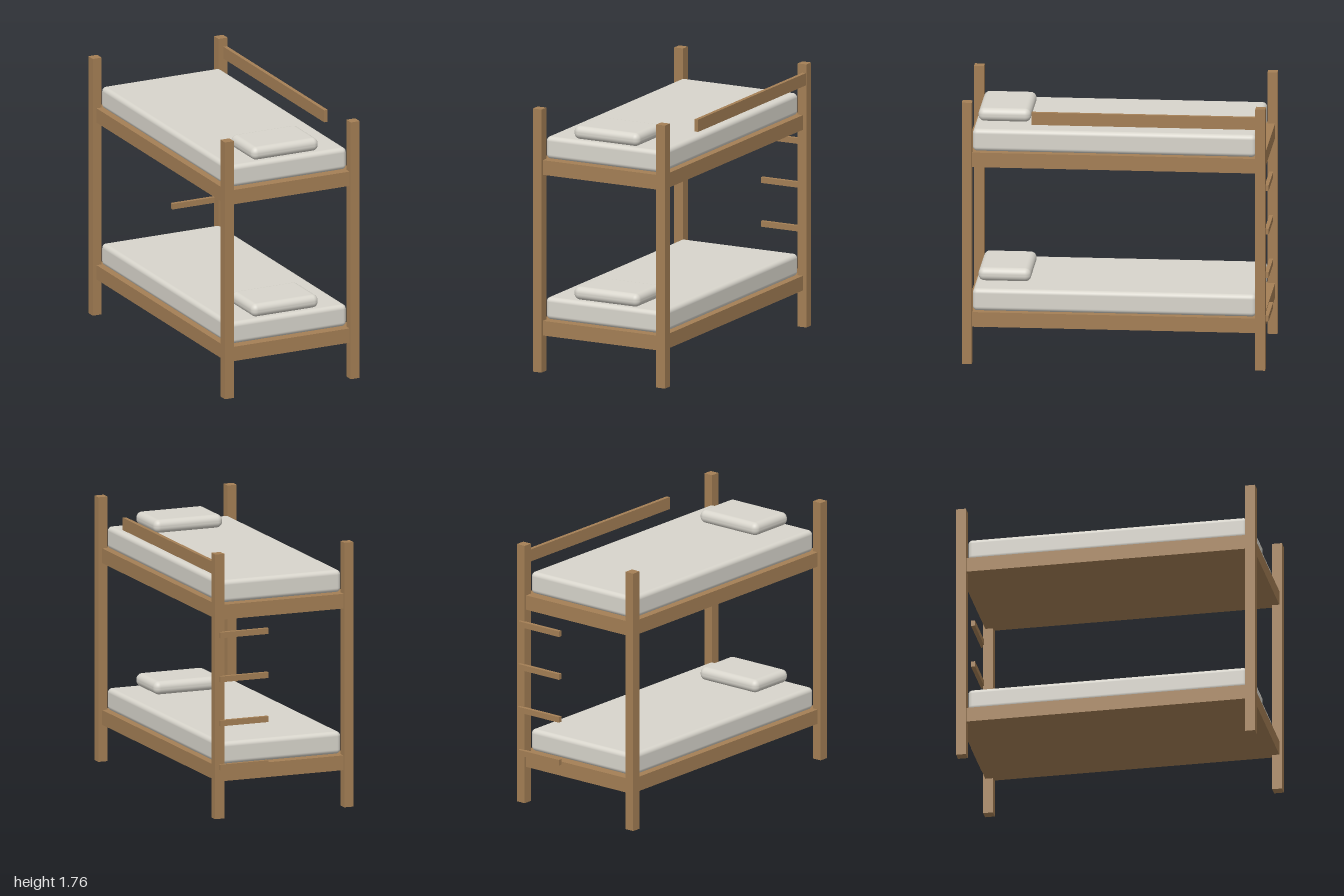
import * as THREE from 'three';
import { RoundedBoxGeometry } from 'three/addons/geometries/RoundedBoxGeometry.js';

export function createModel() {
  const bed = new THREE.Group();
  bed.name = 'bunkBed';
  const wood = new THREE.MeshStandardMaterial({ name: 'wood', color: 0xa47f55 });
  const linen = new THREE.MeshStandardMaterial({ name: 'linen', color: 0xd8d5cc });

  // Adds a box given its extents on each axis; a radius makes it soft-edged
  function block(name, material, [x0, x1], [y0, y1], [z0, z1], radius = 0) {
    const size = [x1 - x0, y1 - y0, z1 - z0];
    const geometry = radius
      ? new RoundedBoxGeometry(...size, 5, radius)
      : new THREE.BoxGeometry(...size);
    const mesh = new THREE.Mesh(geometry, material);
    mesh.name = name;
    mesh.position.set((x0 + x1) / 2, (y0 + y1) / 2, (z0 + z1) / 2);
    bed.add(mesh);
  }

  // Corner posts
  for (const [side, x] of [['right', -0.4575], ['left', 0.4575]]) {
    for (const [end, z] of [['Front', 0.9675], ['Back', -0.9475]]) {
      block(`${side}${end}Post`, wood, [x - 0.0325, x + 0.0325], [0, 1.76], [z - 0.0325, z + 0.0325]);
    }
  }

  // Two bunks: solid frame, mattress and pillow
  for (const [level, y] of [['lower', 0.245], ['upper', 1.32]]) {
    block(`${level}Frame`, wood, [-0.463, 0.463], [y, y + 0.098], [-0.965, 0.982]);
    block(`${level}Mattress`, linen, [-0.433, 0.433], [y + 0.097, y + 0.245], [-0.915, 0.935], 0.03);
    block(`${level}Pillow`, linen, [-0.243, 0.243], [y + 0.245, y + 0.333], [0.572, 0.915], 0.04);
  }

  // Guard rail along the left of the upper bunk
  block('guardRail', wood, [0.46, 0.486], [1.62, 1.702], [-0.94, 0.545]);

  // Ladder rungs across the back of the left post
  for (let i = 0; i < 4; i++) {
    const y = 0.345 + i * 0.293;
    block(`ladderRung${i + 1}`, wood, [0.12, 0.463], [y - 0.019, y + 0.019], [-1, -0.974]);
  }
  return bed;
}
